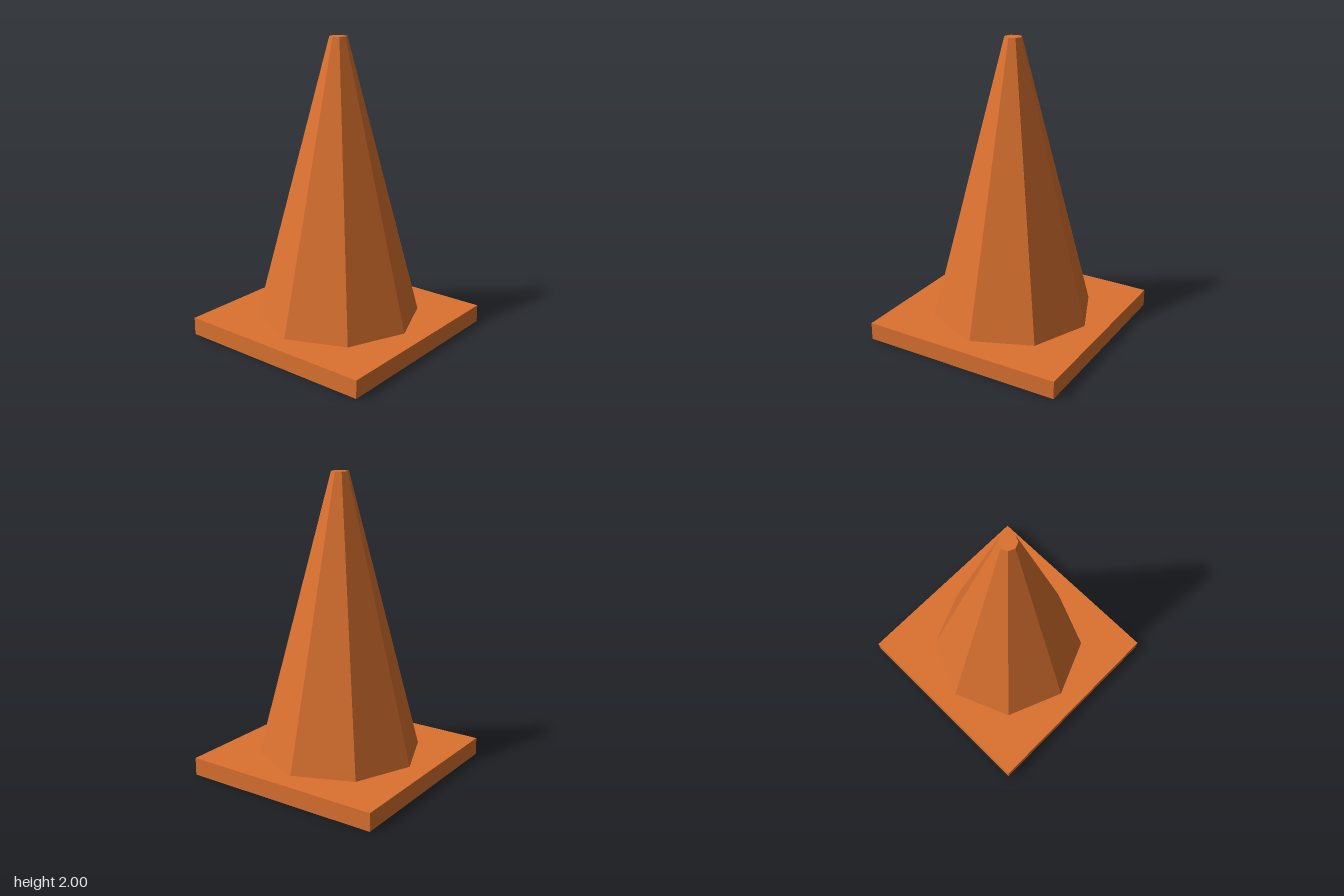
import * as THREE from 'three';

export function createModel() {
  const model = new THREE.Group();
  model.name = 'trafficCone';

  const orange = new THREE.MeshStandardMaterial({ color: 0xdc7230, flatShading: true });
  orange.name = 'orange';

  const baseHeight = 0.12;
  const baseWidth = 1.385;
  const coneHeight = 2 - baseHeight;

  // Square foot plate
  const base = new THREE.Mesh(new THREE.BoxGeometry(baseWidth, baseHeight, baseWidth), orange);
  base.name = 'base';
  base.position.y = baseHeight / 2;
  model.add(base);

  // Eight-sided tapering body with a small flat tip
  const cone = new THREE.Mesh(new THREE.CylinderGeometry(0.058, 0.553, coneHeight, 8), orange);
  cone.name = 'coneBody';
  cone.position.y = baseHeight + coneHeight / 2;
  model.add(cone);

  return model;
}
